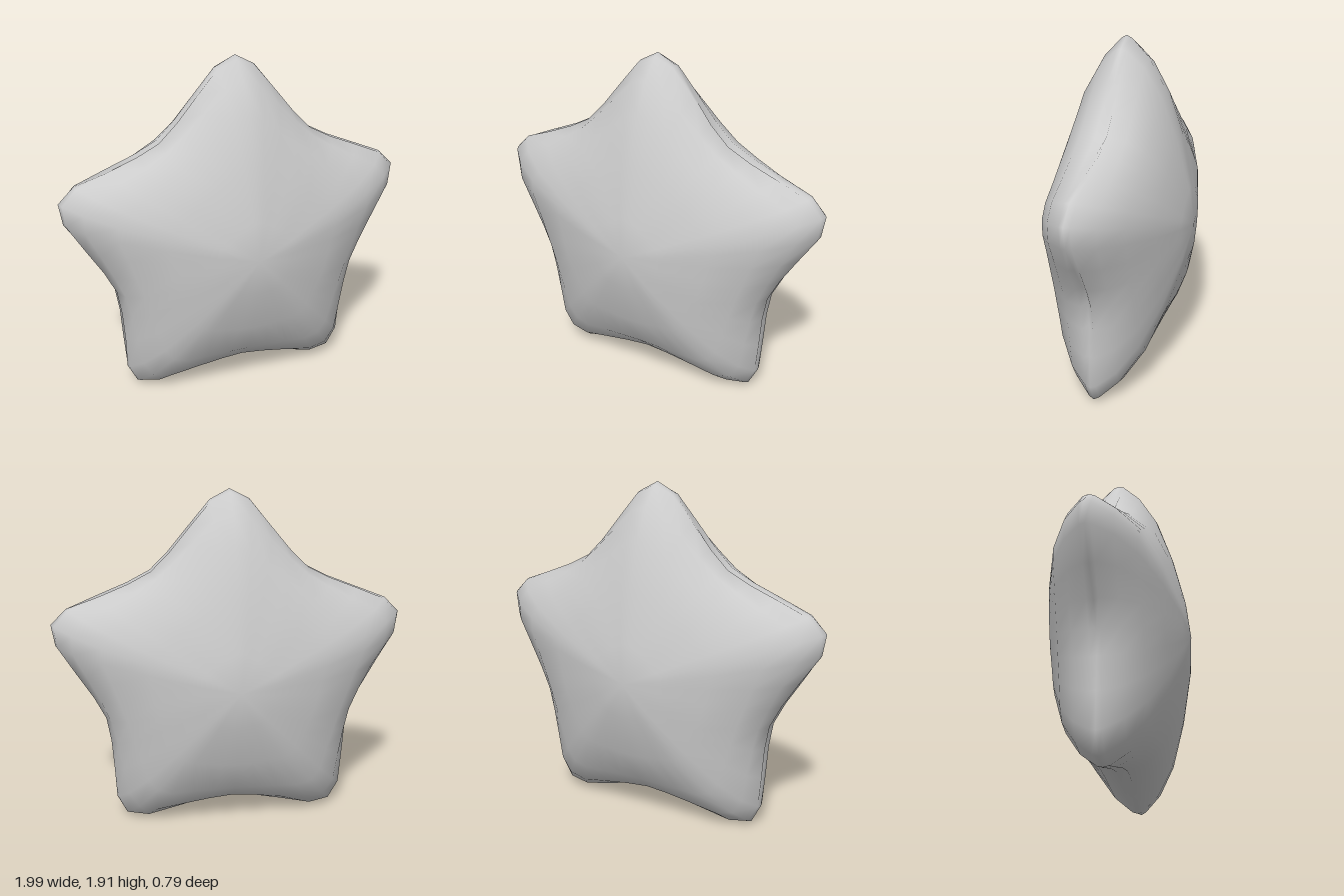
import * as THREE from 'three';

const CENTRE_Y = 0.88;

// Half an arm, from tip to valley: angle, outline radius, valley weight
const HALF_ARM = [
  [0, 1.045, 0],
  [6.3, 1.0, 0.1],
  [15.1, 0.88, 0.4],
  [25.6, 0.787, 0.8],
  [36, 0.75, 1],
];

// Rings from the front centre to the seam: depth, radius share along an arm, and in a valley
const RINGS = [
  [0.37, 0.21, 0.27],
  [0.305, 0.478, 0.6],
  [0.22, 0.727, 0.84],
  [0.125, 0.89, 0.96],
  [0.03, 0.984, 1],
  [0, 1, 0.945],
];

// Full outline, clockwise from the top tip
function starOutline() {
  const outline = [];
  for (let arm = 0; arm < 5; arm++) {
    for (let k = -4; k < 4; k++) {
      const [angle, radius, valley] = HALF_ARM[Math.abs(k)];
      const a = THREE.MathUtils.degToRad(arm * 72 + Math.sign(k) * angle);
      outline.push({ x: radius * Math.sin(a), y: radius * Math.cos(a), valley });
    }
  }
  return outline;
}

function puffyStarGeometry() {
  const outline = starOutline();
  const n = outline.length;
  const back = RINGS.slice(0, -1).reverse().map(([z, a, v]) => [-z, a, v]);
  const rings = [...RINGS, ...back];
  const positions = [0, CENTRE_Y, 0.395];
  const index = [];

  for (const [z, armShare, valleyShare] of rings) {
    for (const p of outline) {
      const s = THREE.MathUtils.lerp(armShare, valleyShare, p.valley);
      positions.push(p.x * s, CENTRE_Y + p.y * s, z);
    }
  }
  positions.push(0, CENTRE_Y, -0.395);

  const at = (ring, j) => 1 + ring * n + (j % n);
  const last = rings.length - 1;
  const backPole = 1 + rings.length * n;
  for (let j = 0; j < n; j++) {
    index.push(0, at(0, j + 1), at(0, j));
    for (let i = 0; i < last; i++) {
      const a = at(i, j), b = at(i, j + 1), c = at(i + 1, j), d = at(i + 1, j + 1);
      index.push(a, b, c, b, d, c);
    }
    index.push(backPole, at(last, j), at(last, j + 1));
  }

  const geometry = new THREE.BufferGeometry();
  geometry.setAttribute('position', new THREE.Float32BufferAttribute(positions, 3));
  geometry.setIndex(index);
  geometry.computeVertexNormals();
  return geometry;
}

export function createModel() {
  const group = new THREE.Group();
  group.name = 'puffyStar';
  const star = new THREE.Mesh(
    puffyStarGeometry(),
    new THREE.MeshStandardMaterial({ color: 0xcccccc })
  );
  star.name = 'starBody';
  group.add(star);
  return group;
}
